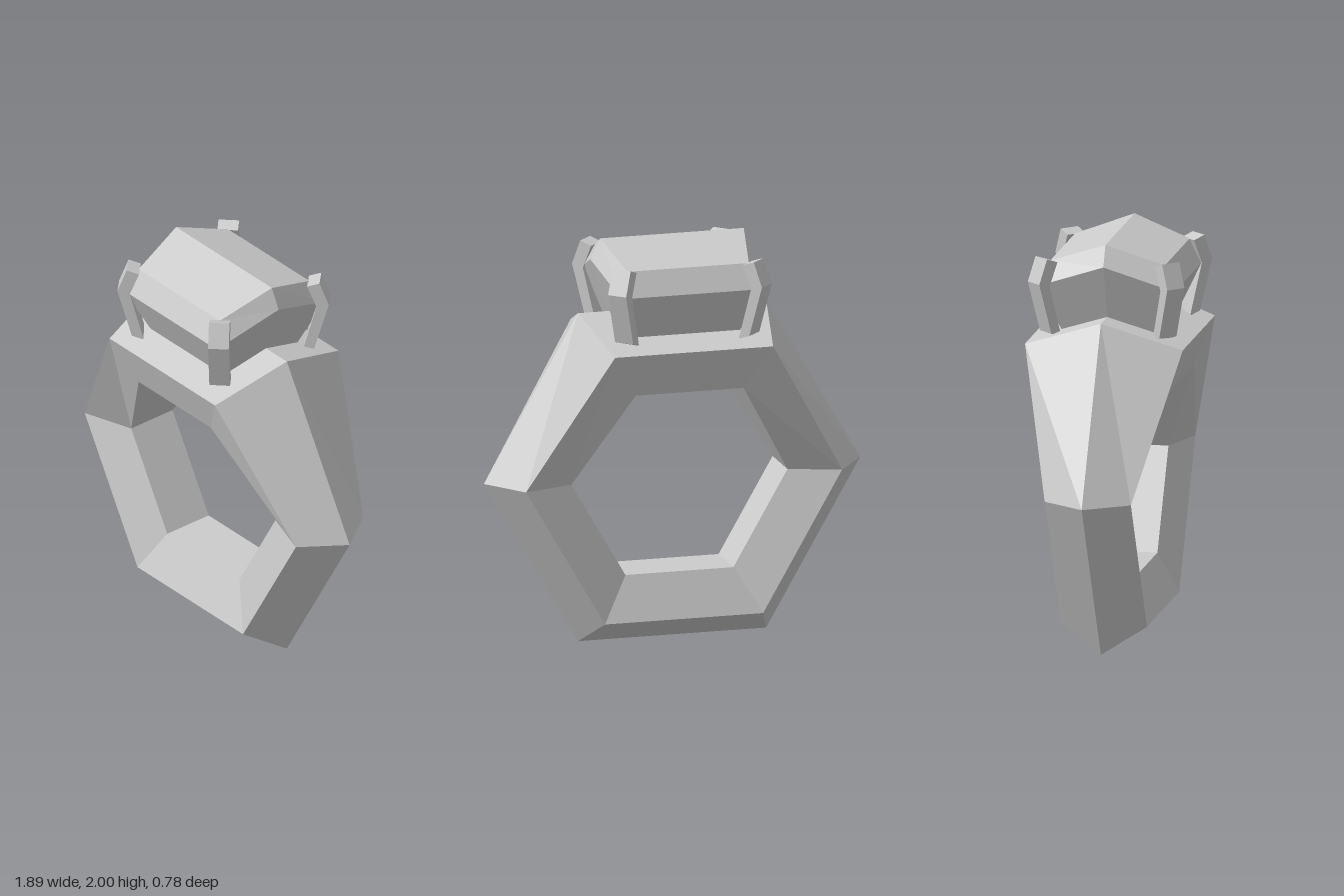
import * as THREE from 'three';

const material = new THREE.MeshStandardMaterial({ color: 0xcccccc, flatShading: true });

// Skin a list of equal-length cross-sections; either close the loop or cap both ends.
function loft(sections, closed) {
  const n = sections[0].length, m = sections.length, index = [];
  for (let i = 0; i < (closed ? m : m - 1); i++) {
    const a = i * n, b = ((i + 1) % m) * n;
    for (let j = 0; j < n; j++) {
      const k = (j + 1) % n;
      index.push(a + j, b + j, b + k, a + j, b + k, a + k);
    }
  }
  if (!closed) {
    const top = (m - 1) * n;
    for (let j = 1; j < n - 1; j++) {
      index.push(0, j, j + 1, top, top + j + 1, top + j);
    }
  }
  const indexed = new THREE.BufferGeometry();
  indexed.setAttribute('position', new THREE.Float32BufferAttribute(sections.flat(2), 3));
  indexed.setIndex(index);
  const geometry = indexed.toNonIndexed();
  geometry.computeVertexNormals();
  return geometry;
}

function addMesh(group, name, geometry) {
  const mesh = new THREE.Mesh(geometry, material);
  mesh.name = name;
  group.add(mesh);
  return mesh;
}

// Five-sided section at one hexagon corner; the two upper corners are wider.
function bandSection(i) {
  const angle = (i * Math.PI) / 3;
  const wide = i === 1 || i === 2;
  const mid = wide ? 0.388 : 0.212, inner = wide ? 0.31 : 0.13;
  return [[0.944, 0], [0.793, mid], [0.542, inner], [0.542, -inner], [0.793, -mid]]
    .map(([r, z]) => [r * Math.cos(angle), 0.8175 + r * Math.sin(angle), z]);
}

// Six-point gem outline, raised along its centre line.
function gemSection(xMid, yMid, xEnd, yEnd, z) {
  return [[xMid, yMid, 0], [xEnd, yEnd, z], [-xEnd, yEnd, z],
    [-xMid, yMid, 0], [-xEnd, yEnd, -z], [xEnd, yEnd, -z]];
}

export function createModel() {
  const group = new THREE.Group();

  // Hexagonal band
  addMesh(group, 'band', loft([0, 1, 2, 3, 4, 5].map(bandSection), true));

  // Faceted gem: pavilion, girdle, table
  addMesh(group, 'gem', loft([
    gemSection(0.31, 1.62, 0.26, 1.51, 0.21),
    gemSection(0.41, 1.9, 0.35, 1.78, 0.338),
    gemSection(0.36, 2.0, 0.305, 1.9, 0.282),
  ], false));

  // Bent prongs at the four gem corners, set diagonally
  const profile = new THREE.Shape([
    [-0.07, 1.55], [0, 1.8], [-0.045, 1.92], [-0.105, 1.9], [-0.06, 1.785], [-0.128, 1.53],
  ].map(([x, y]) => new THREE.Vector2(x, y)));
  const prongGeometry = new THREE.ExtrudeGeometry(profile, { depth: 0.1, bevelEnabled: false });
  prongGeometry.translate(0, 0, -0.05);
  for (const sx of [1, -1]) {
    for (const sz of [1, -1]) {
      const side = (sz > 0 ? 'front' : 'back') + (sx > 0 ? 'Left' : 'Right');
      const prong = addMesh(group, side + 'Prong', prongGeometry);
      prong.position.set(sx * 0.376, 0, sz * 0.35);
      prong.rotation.y = Math.atan2(-sz, sx);
    }
  }
  return group;
}
